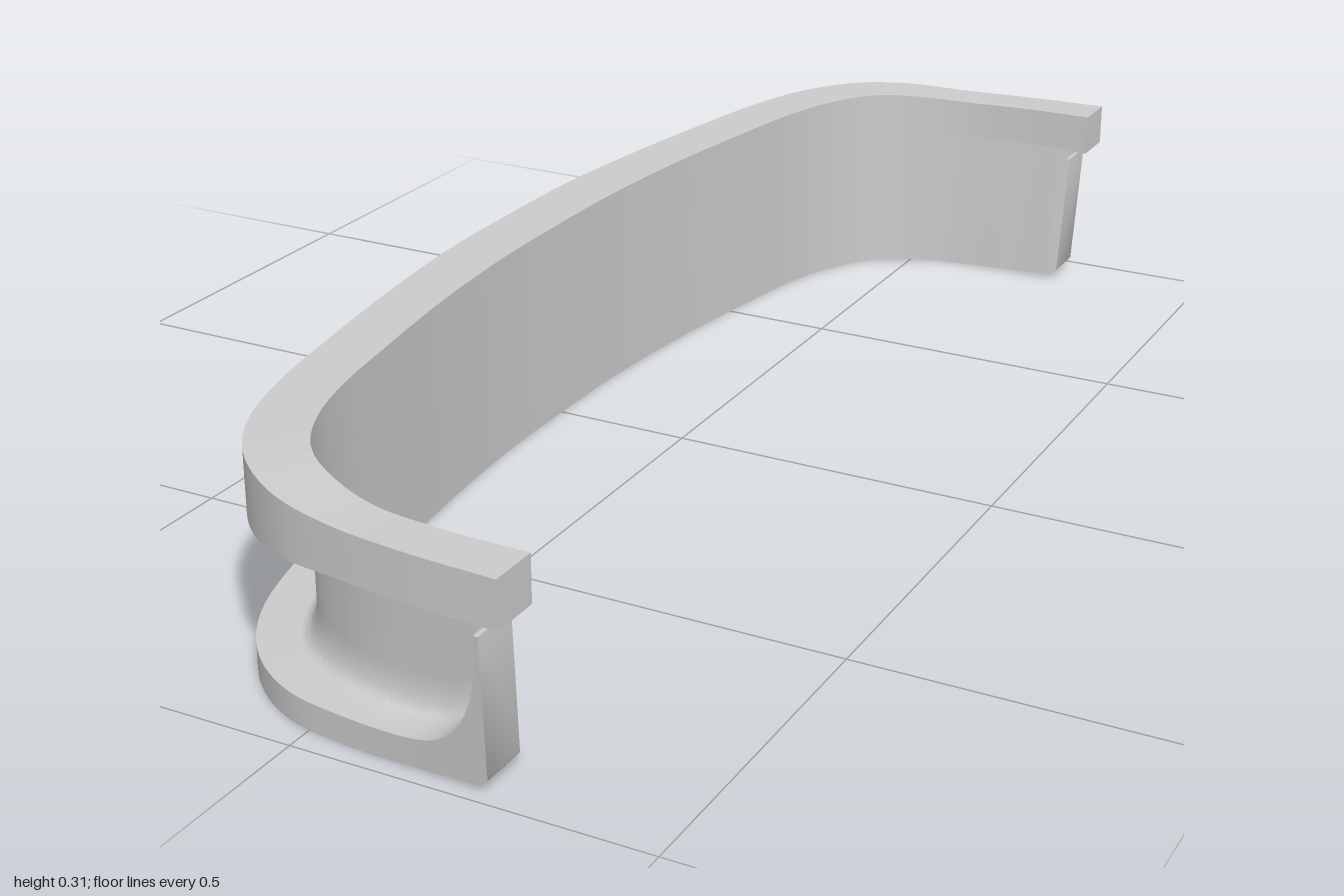
import * as THREE from 'three';
import { toCreasedNormals } from 'three/addons/utils/BufferGeometryUtils.js';

const { smoothstep, clamp, lerp } = THREE.MathUtils;

// Plan outlines [x, z] from the middle to one tip; both share the same stations
const OUTER = [[-0.3, 0], [-0.297, 0.17], [-0.279, 0.35], [-0.254, 0.52], [-0.225, 0.68], [-0.186, 0.8],
  [-0.125, 0.89], [-0.04, 0.95], [0.06, 0.977], [0.18, 0.993], [0.27, 0.998], [0.298, 1]];
const INNER = [[-0.21, 0], [-0.207, 0.17], [-0.192, 0.35], [-0.168, 0.52], [-0.144, 0.66], [-0.112, 0.76],
  [-0.065, 0.835], [0.0, 0.881], [0.08, 0.91], [0.18, 0.923], [0.27, 0.926], [0.298, 0.926]];

// Mirrors a half outline into a full curve running from -z to +z
function planCurve(half) {
  const all = [...half.slice(1).reverse().map(([x, z]) => [x, -z]), ...half];
  return new THREE.CatmullRomCurve3(all.map(([x, z]) => new THREE.Vector3(x, 0, z)), false, 'catmullrom', 0.5);
}

const outerCurve = planCurve(OUTER);
const innerCurve = planCurve(INNER);

// Sweeps a section [depth 0 inner..1 outer, y] along the plan; warp may adjust each point
function sweep(t0, t1, stations, section, warp) {
  const pos = [], index = [];
  let n = 0;
  for (let s = 0; s <= stations; s++) {
    const t = lerp(t0, t1, s / stations);
    const a = innerCurve.getPoint(t), b = outerCurve.getPoint(t);
    const ring = section((a.x + b.x) / 2);
    n = ring.length;
    for (const [d, y] of ring) {
      const p = a.clone().lerp(b, d).setY(y);
      if (warp) warp(p);
      pos.push(p.x, p.y, p.z);
    }
  }
  for (let s = 0; s < stations; s++) {
    for (let i = 0; i < n; i++) {
      const a = s * n + i, b = s * n + (i + 1) % n;
      index.push(a, a + n, b, b, a + n, b + n);
    }
  }
  const e = stations * n;
  for (let i = 1; i < n - 1; i++) index.push(0, i, i + 1, e, e + i + 1, e + i);
  const geo = new THREE.BufferGeometry();
  geo.setAttribute('position', new THREE.Float32BufferAttribute(pos, 3));
  geo.setIndex(index);
  return toCreasedNormals(geo, 0.6);
}

// The top rail becomes slimmer towards its tips
const railBottom = x => lerp(0.217, 0.23, smoothstep(x, -0.12, 0.1));
const railTop = x => lerp(0.308, 0.295, smoothstep(x, -0.12, 0.1));

function railSection(x) {
  const lo = railBottom(x), hi = railTop(x);
  return [[0, lo], [1, lo], [1, hi], [0, hi]];
}

// Lower channel: flange, concave fillet and thin web; the flange climbs to close the ends
function channelSection(x) {
  const u = clamp((x - 0.08) / 0.185, 0, 1);
  const h = 0.04 + 0.175 * (1 - Math.sqrt(1 - u ** 4.5));
  const top = x < 0.262 ? railBottom(x) + 0.003 : 0.215;
  const base = 0.005 * smoothstep(x, 0.1, 0.25) + 0.012 * clamp((x - 0.255) / 0.015, 0, 1) ** 2;
  const rise = Math.min(0.05, Math.max(0, 0.215 - h));
  const ring = [[0, base], [1, base], [1, h]];
  const web = x < 0.262 ? 0.05 : 1;
  for (let i = 0; i <= 6; i++) {
    const a = (i / 6) * Math.PI / 2;
    const d = x < 0.262 ? lerp(0.32, web, Math.sin(a)) : 1;
    ring.push([d, h + rise * (1 - Math.cos(a))]);
  }
  ring.push([web, top], [0, top]);
  return ring;
}

// Leans the channel's tips inwards towards the bottom
function leanTips(p) {
  const low = 1 - p.y / 0.217;
  const k = smoothstep(p.x, -0.1, 0.25) * Math.max(0, low);
  p.z -= Math.sign(p.z) * 0.021 * k;
  p.x -= 0.006 * k;
}

export function createModel() {
  const model = new THREE.Group();
  model.name = 'curvedBumper';
  const material = new THREE.MeshStandardMaterial({ color: 0xcccccc, side: THREE.DoubleSide });
  const add = (name, geometry) => {
    const mesh = new THREE.Mesh(geometry, material);
    mesh.name = name;
    model.add(mesh);
  };

  add('topRail', sweep(0, 1, 160, railSection));
  // The channel stops one station short of the rail's tips
  const t = 1 / (2 * (OUTER.length - 1));
  add('lowerChannel', sweep(t, 1 - t, 400, channelSection, leanTips));
  return model;
}
